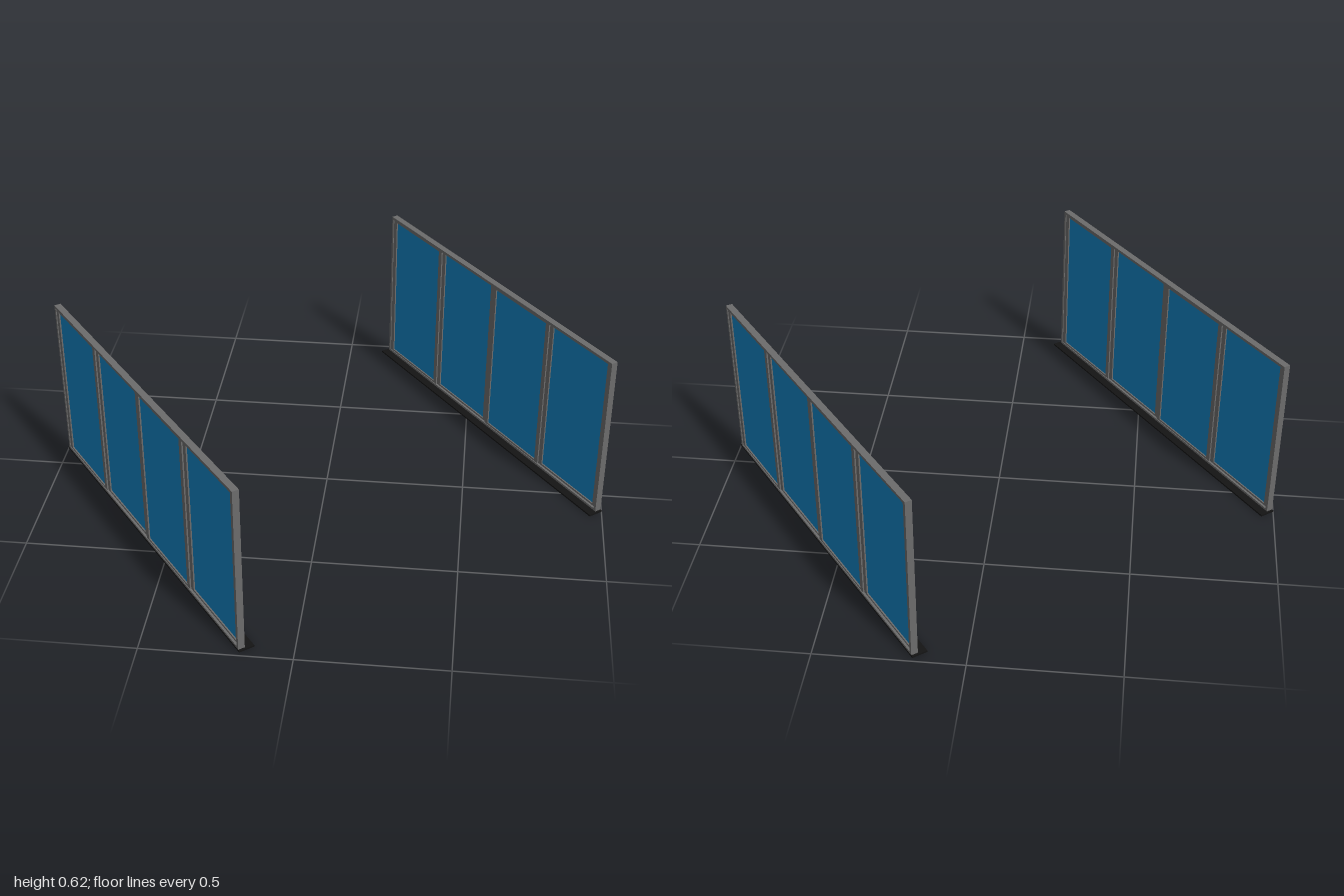
import * as THREE from 'three';

const frameMat = new THREE.MeshStandardMaterial({ color: 0x6c6c6c });
const glassMat = new THREE.MeshStandardMaterial({ color: 0x1283c2 });
const sillMat = new THREE.MeshStandardMaterial({ color: 0x141414 });

const LENGTH = 1.35, HEIGHT = 0.62, RIM = 0.01, PANES = 4;

function add(parent, name, geometry, material, x, y, z) {
  const mesh = new THREE.Mesh(geometry, material);
  mesh.name = name;
  mesh.position.set(x, y, z);
  parent.add(mesh);
  return mesh;
}

// Rectangular ring, standing on y = 0 and extruded towards +z
function ringGeometry(w, h, side, rail, depth) {
  const rect = (target, x, y) => {
    target.moveTo(-x, y);
    target.lineTo(x, y);
    target.lineTo(x, h - y);
    target.lineTo(-x, h - y);
    target.closePath();
    return target;
  };
  const shape = rect(new THREE.Shape(), w / 2, 0);
  shape.holes.push(rect(new THREE.Path(), w / 2 - side, rail));
  return new THREE.ExtrudeGeometry(shape, { depth, bevelEnabled: false });
}

function windowWall() {
  const wall = new THREE.Group();

  // Dark sill projecting on the inner side
  add(wall, 'sill', new THREE.BoxGeometry(1.364, 0.006, 0.055), sillMat, 0, 0.003, 0);

  // Outer frame
  add(wall, 'outerFrame', ringGeometry(LENGTH, HEIGHT - 0.004, RIM, RIM, 0.024), frameMat, 0, 0.004, 0.003);

  // Four sashes alternating between two tracks, each with its glass
  const w = (LENGTH - 2 * RIM) / PANES, h = HEIGHT - 0.004 - 2 * RIM;
  for (let i = 0; i < PANES; i++) {
    const x = (i - (PANES - 1) / 2) * w;
    const z = i % 2 ? 0.006 : 0.011;
    const sash = new THREE.Group();
    sash.name = 'sash' + (i + 1);
    sash.position.set(x, 0.004 + RIM, z);
    add(sash, 'sashFrame', ringGeometry(w, h, 0.019, 0.007, 0.013), frameMat, 0, 0, 0);
    add(sash, 'glass', new THREE.BoxGeometry(w - 0.03, h - 0.01, 0.003), glassMat, 0, h / 2, 0.0065);
    wall.add(sash);
  }
  return wall;
}

export function createModel() {
  const model = new THREE.Group();
  model.name = 'windowWalls';
  // Two parallel walls, the second turned half round
  for (const s of [1, -1]) {
    const wall = windowWall();
    wall.name = s > 0 ? 'rightWindowWall' : 'leftWindowWall';
    wall.position.set(-0.566 * s, 0, 0.426 * s);
    wall.rotation.y = -0.92 + (s > 0 ? 0 : Math.PI);
    model.add(wall);
  }
  return model;
}
